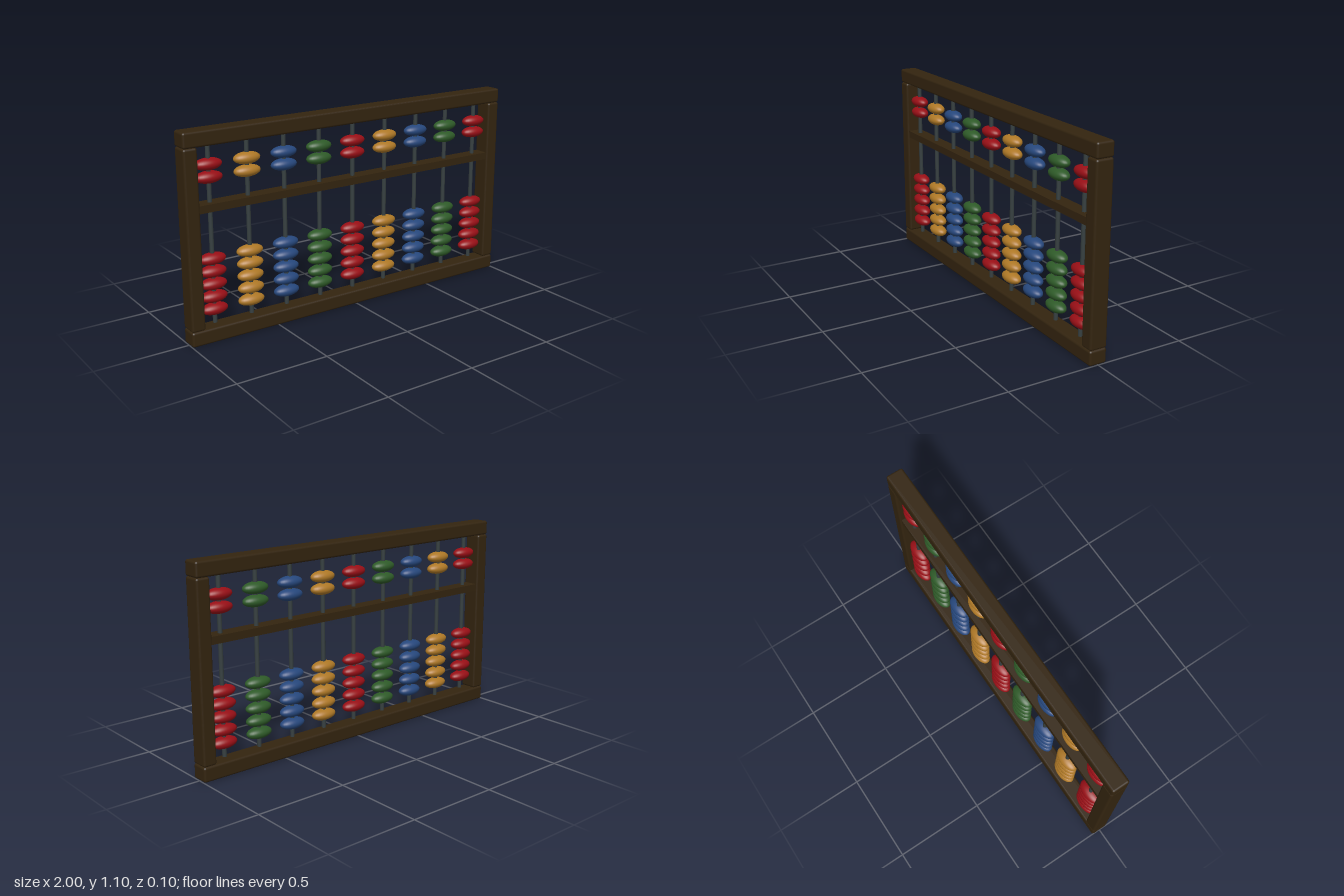
import * as THREE from 'three';
import { RoundedBoxGeometry } from 'three/addons/geometries/RoundedBoxGeometry.js';

const material = (name, color) => {
  const m = new THREE.MeshStandardMaterial({ color });
  m.name = name;
  return m;
};

export function createModel() {
  const model = new THREE.Group();
  model.name = 'abacus';

  const wood = material('dark wood', 0x33240f);
  const metal = material('dark metal', 0x363f40);
  const beadColours = [
    material('red', 0x980f16),
    material('ochre', 0xae7826),
    material('blue', 0x26477c),
    material('green', 0x2e5a28),
  ];

  const add = (parent, name, geometry, mat, x, y) => {
    const mesh = new THREE.Mesh(geometry, mat);
    mesh.name = name;
    mesh.position.set(x, y, 0);
    parent.add(mesh);
    return mesh;
  };

  // Frame: two rails, two posts and the dividing beam
  const frame = new THREE.Group();
  frame.name = 'frame';
  model.add(frame);
  const rail = new RoundedBoxGeometry(2, 0.08, 0.098, 3, 0.012);
  const post = new RoundedBoxGeometry(0.075, 0.94, 0.098, 3, 0.012);
  add(frame, 'bottomRail', rail, wood, 0, 0.04);
  add(frame, 'topRail', rail, wood, 0, 1.06);
  add(frame, 'leftPost', post, wood, 0.9625, 0.55);
  add(frame, 'rightPost', post, wood, -0.9625, 0.55);
  add(frame, 'dividingBeam', new THREE.BoxGeometry(1.86, 0.04, 0.08), wood, 0, 0.708);

  // Columns: a thin rod carrying two upper and five lower beads
  const rod = new THREE.CylinderGeometry(0.0115, 0.0115, 0.925, 12);
  const bead = new THREE.SphereGeometry(1, 28, 18).scale(0.074, 0.031, 0.041);
  const beadHeights = [0.165, 0.232, 0.3, 0.367, 0.434, 0.855, 0.921];
  for (let i = 0; i < 9; i++) {
    const column = new THREE.Group();
    column.name = `column${i + 1}`;
    column.position.x = -0.85 + i * 0.2125;
    model.add(column);
    add(column, 'rod', rod, metal, 0, 0.552);
    for (const y of beadHeights) {
      add(column, y < 0.7 ? 'lowerBead' : 'upperBead', bead, beadColours[i % 4], 0, y);
    }
  }
  return model;
}
